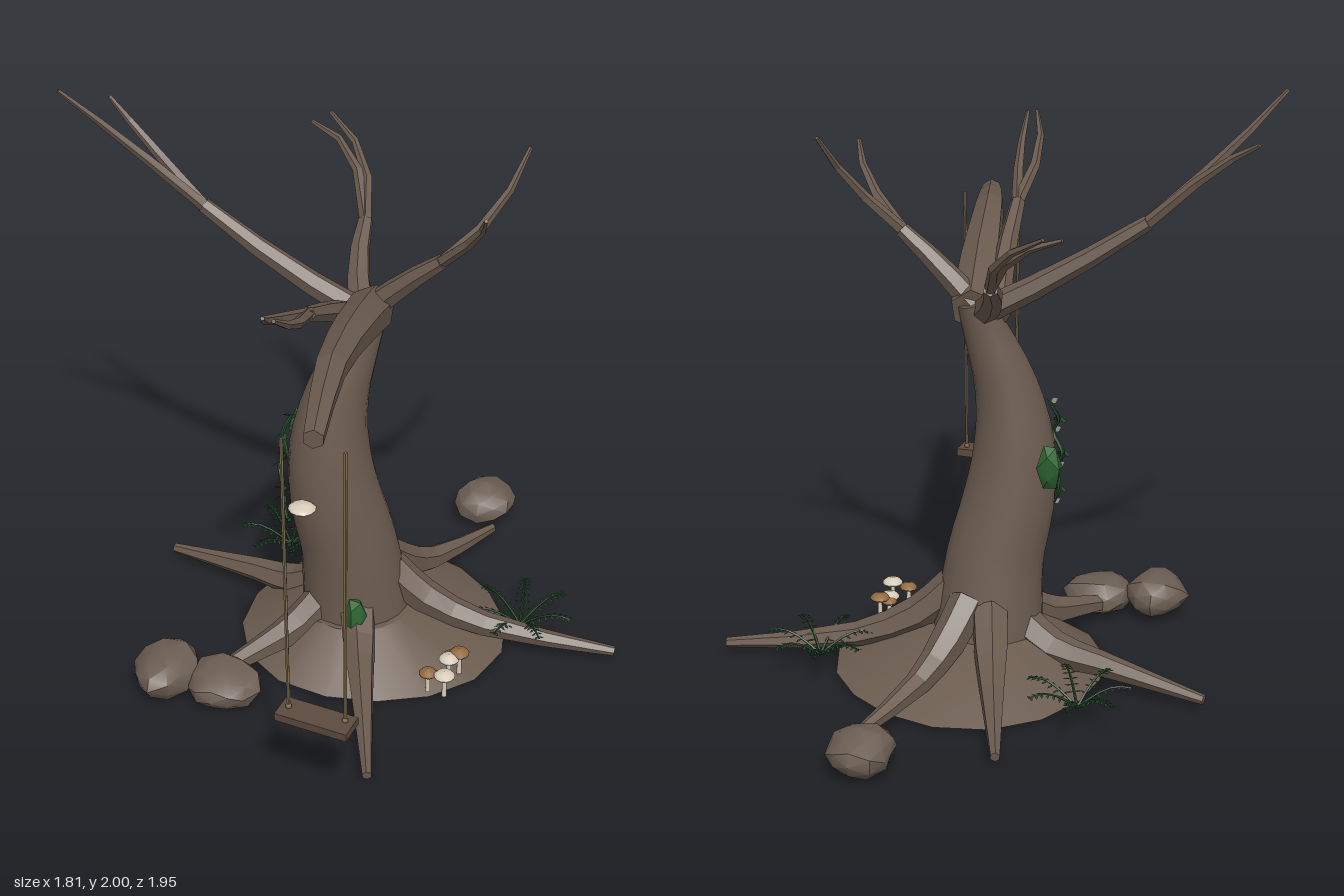
import * as THREE from 'three';
import { mergeGeometries, toCreasedNormals } from 'three/addons/utils/BufferGeometryUtils.js';

const V = (x, y, z) => new THREE.Vector3(x, y, z);

// Closed tapering tube: rings along a smooth path, radii spread evenly over it
function limb(points, radii, sides, segs, crease = 0.1) {
  const curve = new THREE.CatmullRomCurve3(points.map(p => V(...p)));
  const pos = [], idx = [];
  const n = V(0.31, 0.2, 0.93), b = V(0, 0, 0);
  const ring = (t, closed) => {
    const c = curve.getPoint(t), tan = curve.getTangent(t);
    n.addScaledVector(tan, -n.dot(tan)).normalize();
    b.crossVectors(tan, n);
    const f = t * (radii.length - 1), k = Math.min(Math.floor(f), radii.length - 2);
    const r = closed ? 0 : THREE.MathUtils.lerp(radii[k], radii[k + 1], f - k);
    for (let j = 0; j < sides; j++) {
      const a = j / sides * Math.PI * 2;
      const p = c.clone().addScaledVector(n, r * Math.cos(a)).addScaledVector(b, r * Math.sin(a));
      pos.push(p.x, p.y, p.z);
    }
  };
  ring(0, true);
  for (let i = 0; i <= segs; i++) ring(i / segs, false);
  ring(1, true);
  for (let i = 0; i < segs + 2; i++) for (let j = 0; j < sides; j++) {
    const a = i * sides + j, d = a + sides, k = (j + 1) % sides;
    const a2 = i * sides + k, d2 = a2 + sides;
    if (i > 0) idx.push(a, a2, d2);
    else idx.push(a, d2, d);
    if (i > 0 && i < segs + 1) idx.push(a, d2, d);
  }
  const g = new THREE.BufferGeometry();
  g.setAttribute('position', new THREE.Float32BufferAttribute(pos, 3));
  g.setIndex(idx);
  return toCreasedNormals(g, crease);
}

// Lumpy rounded stone or moss clump
function lump(sx, sy, sz, seed, detail) {
  const g = new THREE.IcosahedronGeometry(1, detail);
  const p = g.attributes.position, v = V(0, 0, 0);
  for (let i = 0; i < p.count; i++) {
    v.fromBufferAttribute(p, i);
    v.multiplyScalar(1 + 0.09 * Math.sin(v.x * 3.1 + seed) + 0.07 * Math.sin(v.z * 4.3 + v.y * 2 + seed * 2));
    p.setXYZ(i, v.x * sx, v.y * sy, v.z * sz);
  }
  return toCreasedNormals(g, 0.55);
}

export function createModel() {
  const model = new THREE.Group();
  const mat = (name, color, side = THREE.FrontSide) => {
    const m = new THREE.MeshStandardMaterial({ color, side });
    m.name = name;
    return m;
  };
  const bark = mat('bark', 0x6b5b4f), stone = mat('stone', 0x6b5d52), wood = mat('seat wood', 0x5c4a3e);
  const rope = mat('rope', 0x7d6a4c), moss = mat('moss', 0x2f6632);
  const leaf = mat('leaf', 0x234a2a, THREE.DoubleSide);
  const brownCap = mat('brown cap', 0x93693f), cream = mat('cream', 0xd8ccba);
  const add = (name, geo, m, x = 0, y = 0, z = 0, parent = model) => {
    const mesh = new THREE.Mesh(geo, m);
    mesh.name = name;
    mesh.position.set(x, y, z);
    parent.add(mesh);
    return mesh;
  };

  // Earth mound: skewed frustum with a slightly uneven rim
  const mound = new THREE.CylinderGeometry(0.2, 0.46, 0.14, 16, 1);
  const mp = mound.attributes.position;
  for (let i = 0; i < mp.count; i++) {
    if (mp.getY(i) > 0) continue;
    const x = mp.getX(i), z = mp.getZ(i), k = 1 + 0.03 * Math.sin(3 * Math.atan2(z, x) + 1);
    mp.setXYZ(i, x * k + 0.04, mp.getY(i), z * k - 0.06);
  }
  add('mound', toCreasedNormals(mound, 0.5), bark, 0.02, 0.085, -0.02);

  // Trunk
  add('trunk', limb(
    [[0.02, 0.02, -0.03], [0.01, 0.2, -0.02], [-0.005, 0.4, 0], [-0.045, 0.6, 0.025],
      [-0.06, 0.8, 0.032], [-0.035, 1, 0.018], [0.025, 1.2, -0.02], [0.055, 1.31, -0.045]],
    [0.195, 0.18, 0.165, 0.155, 0.134, 0.104, 0.073, 0.06], 20, 21, 0.7), bark);

  // Roots: tip x, tip z, height where they leave the trunk
  [[0.9, -0.19, 0.27], [-0.76, -0.19, 0.17], [-0.2, -0.74, 0.24],
    [0.27, -0.74, 0.26], [0.35, 0.73, 0.2], [-0.36, 0.52, 0.19]].forEach(([x, z, h]) => {
    const c = V(0.01, 0, -0.03), d = V(x, 0, z).sub(c), len = d.length();
    d.normalize();
    const at = (s, y) => [c.x + d.x * s, y, c.z + d.z * s];
    add('root', limb(
      [at(0.12, h + 0.02), at(0.24, h * 0.68), at(0.24 + (len - 0.24) * 0.32, 0.095), at(len, 0.045)],
      [0.065, 0.06, 0.043, 0.017], 6, 6), bark);
  });

  // Swing-bearing bough
  add('mainBough', limb([[0.05, 1.28, -0.07], [0.1, 1.365, 0.2], [0.17, 1.44, 0.58], [0.255, 1.41, 0.92]],
    [0.078, 0.07, 0.052, 0.034], 6, 6), bark);

  // Forked branches: stem path followed by two twigs
  const branches = {
    leftwardBranch: [[[0.04, 1.26, -0.05], [-0.23, 1.41, -0.01], [-0.5, 1.59, 0.015]],
      [[-0.74, 1.82, 0.1], [-0.9, 2, 0.2]], [[-0.72, 1.79, -0.005], [-0.855, 1.88, -0.055]]],
    rightwardBranch: [[[0.04, 1.28, -0.05], [0.17, 1.41, -0.04], [0.3, 1.52, -0.03]],
      [[0.45, 1.69, -0.11], [0.51, 1.86, -0.24]], [[0.44, 1.67, 0.04], [0.49, 1.77, 0.12]]],
    backBranch: [[[0.02, 1.27, -0.05], [-0.05, 1.36, -0.2], [-0.08, 1.445, -0.34]],
      [[-0.2, 1.61, -0.5], [-0.35, 1.675, -0.53]], [[-0.15, 1.59, -0.5], [-0.305, 1.69, -0.59]]],
    frontBranch: [[[-0.02, 1.26, -0.04], [0.01, 1.38, 0.16], [0.03, 1.51, 0.42]],
      [[0.02, 1.63, 0.69], [0.068, 1.725, 0.84]], [[0.085, 1.61, 0.66], [0.1, 1.72, 0.835]]],
  };
  for (const [name, [stem, ...twigs]] of Object.entries(branches)) {
    const g = new THREE.Group();
    g.name = name;
    model.add(g);
    add('stem', limb(stem, [0.045, 0.037, 0.025], 6, 3), bark, 0, 0, 0, g);
    for (const t of twigs)
      add('twig', limb([stem[2], ...t], [0.021, 0.016, 0.007], 5, 3), bark, 0, 0, 0, g);
  }

  // Swing
  const swing = new THREE.Group();
  swing.name = 'swing';
  model.add(swing);
  const seat = add('seat', new THREE.BoxGeometry(0.245, 0.028, 0.088), wood, 0.255, 0.39, 0.918, swing);
  seat.rotation.set(0.05, -0.06, 0);
  for (const s of [-1, 1]) {
    add('rope', limb([[0.255 + s * 0.1, 1.39, 0.922], [0.255 + s * 0.094, 0.375, 0.912]],
      [0.006, 0.006], 6, 1, 0.7), rope, 0, 0, 0, swing);
    add('knot', new THREE.SphereGeometry(0.01, 8, 6), rope, 0.255 + s * 0.094, 0.41, 0.913, swing);
  }

  // Stones
  [[-0.465, 0.072, 0.51, 0.118, 0.074, 0.135, 1], [-0.255, 0.07, 0.49, 0.115, 0.072, 0.135, 4],
    [0.205, 0.072, -0.862, 0.118, 0.07, 0.112, 2.5]].forEach(([x, y, z, sx, sy, sz, seed]) => {
    const g = lump(sx, sy, sz, seed, 1);
    g.computeBoundingBox();
    add('stone', g, stone, x, -g.boundingBox.min.y + 0.004, z);
  });

  // Moss clumps
  add('mossClump', lump(0.042, 0.08, 0.04, 2, 0), moss, 0.085, 0.21, 0.165);
  add('mossClump', lump(0.04, 0.085, 0.045, 5, 0), moss, -0.208, 0.765, -0.075);

  // Flat leaf blade pointing along dir
  const blade = (p, dir, side, len, wid) => {
    const g = new THREE.BufferGeometry();
    const a = p.clone().addScaledVector(dir, len / 2), tip = p.clone().addScaledVector(dir, len);
    const l = a.clone().addScaledVector(side, wid), r = a.clone().addScaledVector(side, -wid);
    g.setAttribute('position', new THREE.Float32BufferAttribute([p, r, tip, p, tip, l].flatMap(v => v.toArray()), 3));
    g.computeVertexNormals();
    return g;
  };

  // Climbing vine with leaves
  const vinePath = [[-0.165, 0.92, 0.1], [-0.19, 0.86, 0.12], [-0.165, 0.8, 0.15], [-0.205, 0.74, 0.12],
    [-0.175, 0.67, 0.16], [-0.195, 0.61, 0.12], [-0.165, 0.54, 0.15]];
  add('vine', limb(vinePath, [0.006, 0.008, 0.006], 5, 24, 0.7), leaf);
  const vineLeaves = vinePath.flatMap(([x, y, z], i) => [-1, 1].map(s =>
    blade(V(x, y, z), V(s * 0.6, 0.3 - (i % 2) * 0.7, 0.6).normalize(), V(0.4, 0.6, -s * 0.4).normalize(), 0.035, 0.012)));
  add('vineLeaves', mergeGeometries(vineLeaves), leaf);

  // Ferns: arching fronds lined with leaflets
  [[-0.375, -0.36, 0.2, 7, 0.175], [0.555, -0.205, 0, 7, 0.18]].forEach(([x, z, turn, count, len]) => {
    const parts = [];
    for (let i = 0; i < count; i++) {
      const a = turn + i / count * Math.PI * 2, out = V(Math.cos(a), 0, Math.sin(a)), side = V(-out.z, 0, out.x);
      const pts = [[0, 0.05], [0.35, 0.1], [0.7, 0.127], [1, 0.122]].map(([s, y]) => [out.x * s * len, y, out.z * s * len]);
      const curve = new THREE.CatmullRomCurve3(pts.map(p => V(...p)));
      const stem = limb(pts, [0.005, 0.003], 4, 5);
      parts.push(stem);
      for (let k = 2; k <= 8; k++) for (const s of [-1, 1]) {
        const dir = side.clone().multiplyScalar(s).addScaledVector(out, 0.45).add(V(0, -0.2, 0)).normalize();
        parts.push(blade(curve.getPoint(k / 8.5), dir, out, 0.036 - k * 0.002, 0.0055));
      }
    }
    add('fern', mergeGeometries(parts), leaf, x, 0, z);
  });

  // Mushrooms on the mound
  const cap = (r, h) => new THREE.LatheGeometry(
    [[0, 0], [r * 0.95, 0], [r, h * 0.25], [r * 0.7, h * 0.75], [0, h]].map(p => new THREE.Vector2(...p)), 12);
  [[0.445, 0.12, brownCap, 0.034, 0.125], [0.42, 0.155, cream, 0.035, 0.118], [0.415, 0.13, brownCap, 0.028, 0.11],
    [0.38, 0.25, brownCap, 0.031, 0.115], [0.44, 0.255, cream, 0.036, 0.125]].forEach(([x, z, m, r, y]) => {
    add('mushroomStem', new THREE.CylinderGeometry(0.007, 0.009, y - 0.045, 8), cream, x, (y + 0.045) / 2, z);
    add('mushroomCap', cap(r, 0.022), m, x, y, z);
  });

  // Shelf fungus on the trunk
  add('shelfFungus', cap(0.048, 0.02), cream, -0.09, 0.63, 0.2);
  return model;
}
